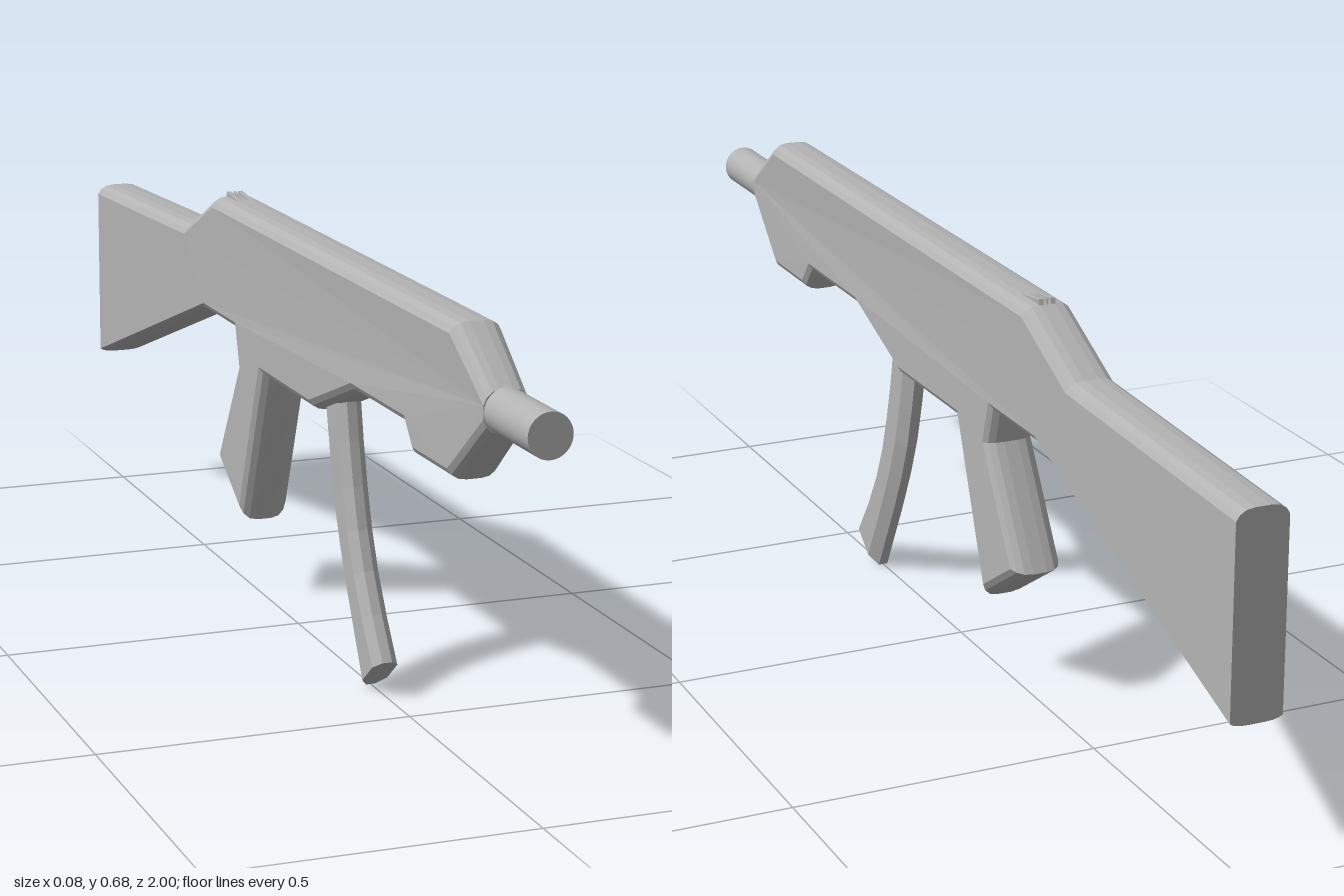
import * as THREE from 'three';

// Move every edge of a counterclockwise outline inward; weights scale the distance per edge.
function inset(points, weights, distance) {
  const n = points.length;
  const lines = points.map((p, i) => {
    const q = points[(i + 1) % n];
    const du = q[0] - p[0], dv = q[1] - p[1], len = Math.hypot(du, dv);
    const a = -dv / len, b = du / len;
    return [a, b, a * p[0] + b * p[1] + distance * (weights[i] ?? 1)];
  });
  return points.map((_, i) => {
    const [a, b, c] = lines[(i + n - 1) % n], [d, e, f] = lines[i];
    const det = a * e - b * d;
    return [(c * e - b * f) / det, (a * f - c * d) / det];
  });
}

// Bevelled slab from a side outline of [z, y] points.
// rings: [half width, inset] from the middle outward; taper(z) scales the width.
function slab(points, rings, weights = {}, taper = () => 1) {
  const n = points.length;
  const sections = [
    ...rings.map(([w, d]) => [-w, d]).reverse(),
    ...rings,
  ].map(([x, d]) => ({ x, outline: inset(points, weights, d) }));
  const position = [], index = [];
  for (const { x, outline } of sections) {
    for (const [z, y] of outline) position.push(x * taper(z), y, z);
  }
  // bands around the edge
  for (let s = 0; s < sections.length - 1; s++) {
    for (let i = 0; i < n; i++) {
      const j = (i + 1) % n, a = s * n + i, b = s * n + j;
      index.push(a, b + n, b, a, a + n, b + n);
    }
  }
  // flat sides
  const last = sections.length - 1;
  const flat = sections[last].outline.map(([z, y]) => new THREE.Vector2(z, y));
  for (const [a, b, c] of THREE.ShapeUtils.triangulateShape(flat, [])) {
    index.push(a, b, c, last * n + a, last * n + c, last * n + b);
  }
  const geometry = new THREE.BufferGeometry();
  geometry.setAttribute('position', new THREE.Float32BufferAttribute(position, 3));
  geometry.setIndex(index);
  const faceted = geometry.toNonIndexed();
  faceted.computeVertexNormals();
  return faceted;
}

export function createModel() {
  const model = new THREE.Group();
  const grey = new THREE.MeshStandardMaterial({ color: 0xb3b3b3 });
  grey.name = 'grey';

  const add = (name, geometry) => {
    const mesh = new THREE.Mesh(geometry, grey);
    mesh.name = name;
    model.add(mesh);
    return mesh;
  };

  // Receiver, stock and grip in one outline
  const bodyOutline = [
    [0.85, 0.597], [0.74, 0.672], [-0.32, 0.672], [-0.475, 0.598],
    [-1, 0.58], [-1, 0.256], [-0.396, 0.462], [-0.209, 0.462],
    [-0.193, 0.408], [-0.305, 0.223], [-0.171, 0.139], [-0.066, 0.411],
    [0.168, 0.411], [0.353, 0.48], [0.56, 0.48], [0.593, 0.44],
    [0.738, 0.44], [0.85, 0.534],
  ];
  const frontTaper = (z) => {
    if (z < 0.35) return 1;
    return z < 0.74
      ? THREE.MathUtils.mapLinear(z, 0.35, 0.74, 1, 0.94)
      : THREE.MathUtils.mapLinear(z, 0.74, 0.85, 0.94, 0.83);
  };
  add('body', slab(
    bodyOutline,
    [[0.012, 0], [0.026, 0.002], [0.036, 0.008], [0.042, 0.017]],
    { 4: 0, 5: 0.35, 17: 0 },
    frontTaper,
  ));

  // Barrel
  const barrel = add('barrel', new THREE.CylinderGeometry(0.034, 0.034, 0.2, 32));
  barrel.rotation.x = Math.PI / 2;
  barrel.position.set(0, 0.566, 0.9);

  // Curved magazine
  add('magazine', slab(
    [
      [0.24, 0.47], [0.25, 0.42], [0.166, 0.42], [0.185, 0.34], [0.206, 0.265],
      [0.232, 0.2], [0.264, 0.135], [0.335, 0.003], [0.406, 0.06],
      [0.36, 0.125], [0.324, 0.185], [0.297, 0.245], [0.276, 0.31], [0.258, 0.38],
    ].slice(2).concat([[0.246, 0.44]]),
    [[0.008, 0], [0.021, 0.014]],
    { 0: 1.6, 1: 1.6, 2: 1.6, 3: 1.6, 4: 1.6, 5: 0, 12: 0 },
  ));

  // Rear sight blades
  const bladeOutline = [[-0.26, 0.672], [-0.318, 0.68], [-0.326, 0.66], [-0.26, 0.66]];
  for (const [name, x, width] of [
    ['leftSight', 0.01, 0.004], ['rightSight', -0.01, 0.004], ['middleSight', 0, 0.0015],
  ]) {
    add(name, slab(bodyOutline && bladeOutline, [[width, 0]])).position.x = x;
  }

  return model;
}
